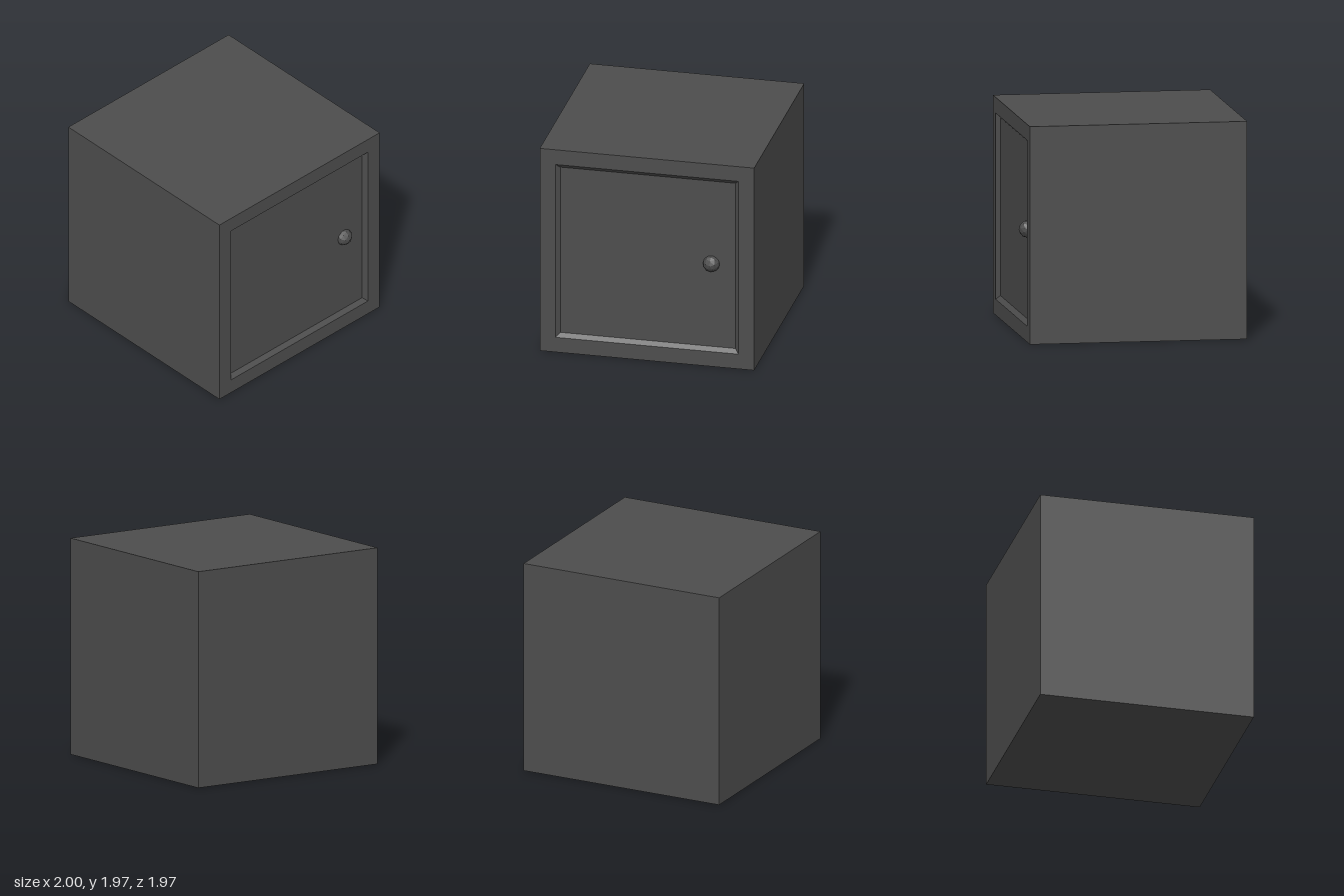
import * as THREE from 'three';

const HALF = 0.983;      // half width of the cube
const FACE_X = 0.967;    // front rim of the door side
const DOOR_X = 0.93;     // recessed door surface

function flat(geometry) {
  const g = geometry.index ? geometry.toNonIndexed() : geometry;
  g.computeVertexNormals();
  return g;
}

export function createModel() {
  const group = new THREE.Group();
  const charcoal = new THREE.MeshStandardMaterial({ color: 0x4d4d4d });
  charcoal.name = 'charcoal';

  const add = (name, geometry, x, y, z) => {
    const mesh = new THREE.Mesh(geometry, charcoal);
    mesh.name = name;
    mesh.position.set(x, y, z);
    group.add(mesh);
  };

  // Square shell with a bevelled recess: a four-sided lathe laid along x
  const profile = [[0, -1], [HALF, -1], [HALF, FACE_X], [0.84, FACE_X], [0.803, DOOR_X]]
    .map(([half, along]) => new THREE.Vector2(half * Math.SQRT2, along));
  const shell = new THREE.LatheGeometry(profile, 4, Math.PI / 4);
  shell.rotateZ(-Math.PI / 2);
  add('cabinetShell', flat(shell), 0, HALF, 0);

  // Door panel closing the recess
  const door = new THREE.PlaneGeometry(1.606, 1.606);
  door.rotateY(Math.PI / 2);
  add('door', door, DOOR_X, HALF, 0);

  // Faceted knob, one pole pointing out of the door
  const knob = new THREE.IcosahedronGeometry(0.079, 1);
  knob.rotateY(Math.atan2(2, 1 + Math.sqrt(5)));
  knob.rotateX(Math.PI / 2);
  add('doorKnob', flat(knob), 0.921, HALF, -0.582);

  return group;
}
